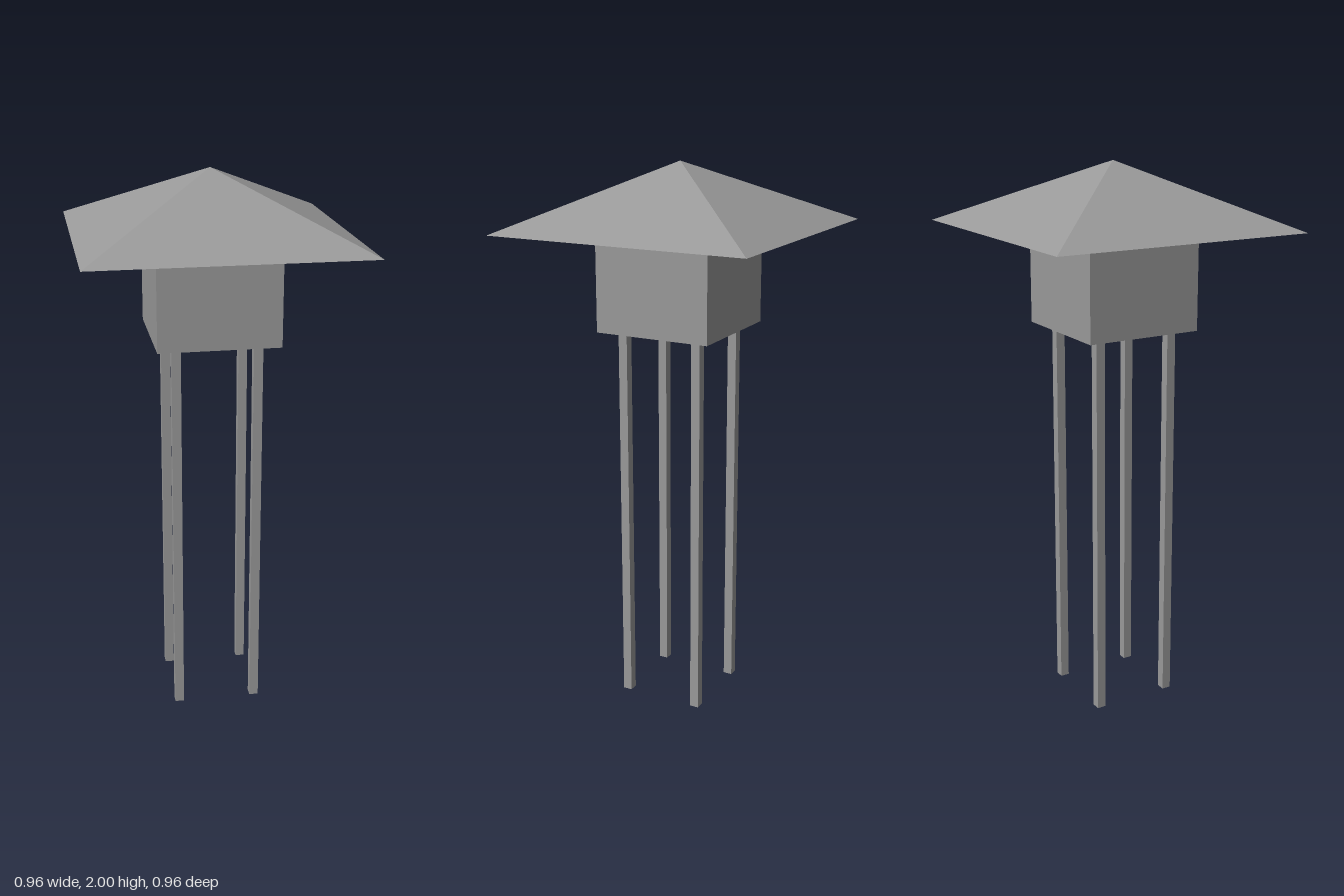
import * as THREE from 'three';

const material = new THREE.MeshStandardMaterial({ color: 0x999999, flatShading: true });

function addPart(group, name, geometry, x, y, z) {
  const mesh = new THREE.Mesh(geometry, material);
  mesh.name = name;
  mesh.position.set(x, y, z);
  group.add(mesh);
}

// Square block between two heights
function addBlock(group, name, width, bottom, top, x = 0, z = 0) {
  addPart(group, name, new THREE.BoxGeometry(width, top - bottom, width), x, (bottom + top) / 2, z);
}

export function createModel() {
  const model = new THREE.Group();
  model.name = 'stiltTower';

  // Four slender square legs
  for (const [side, x] of [['Left', 0.1445], ['Right', -0.1445]]) {
    for (const [end, z] of [['front', 0.1445], ['back', -0.1445]]) {
      addBlock(model, `${end}${side}Leg`, 0.033, 0, 1.417, x, z);
    }
  }

  // Cabin and the narrower neck under the roof
  addBlock(model, 'cabin', 0.432, 1.417, 1.747);
  addBlock(model, 'neck', 0.39, 1.747, 1.773);

  // Wide pyramid roof with a closed underside
  const roofBase = 1.773;
  const roofHeight = 2 - roofBase;
  const roof = new THREE.ConeGeometry(0.479 * Math.SQRT2, roofHeight, 4);
  roof.rotateY(Math.PI / 4);
  addPart(model, 'roof', roof, 0, roofBase + roofHeight / 2, 0);

  return model;
}
